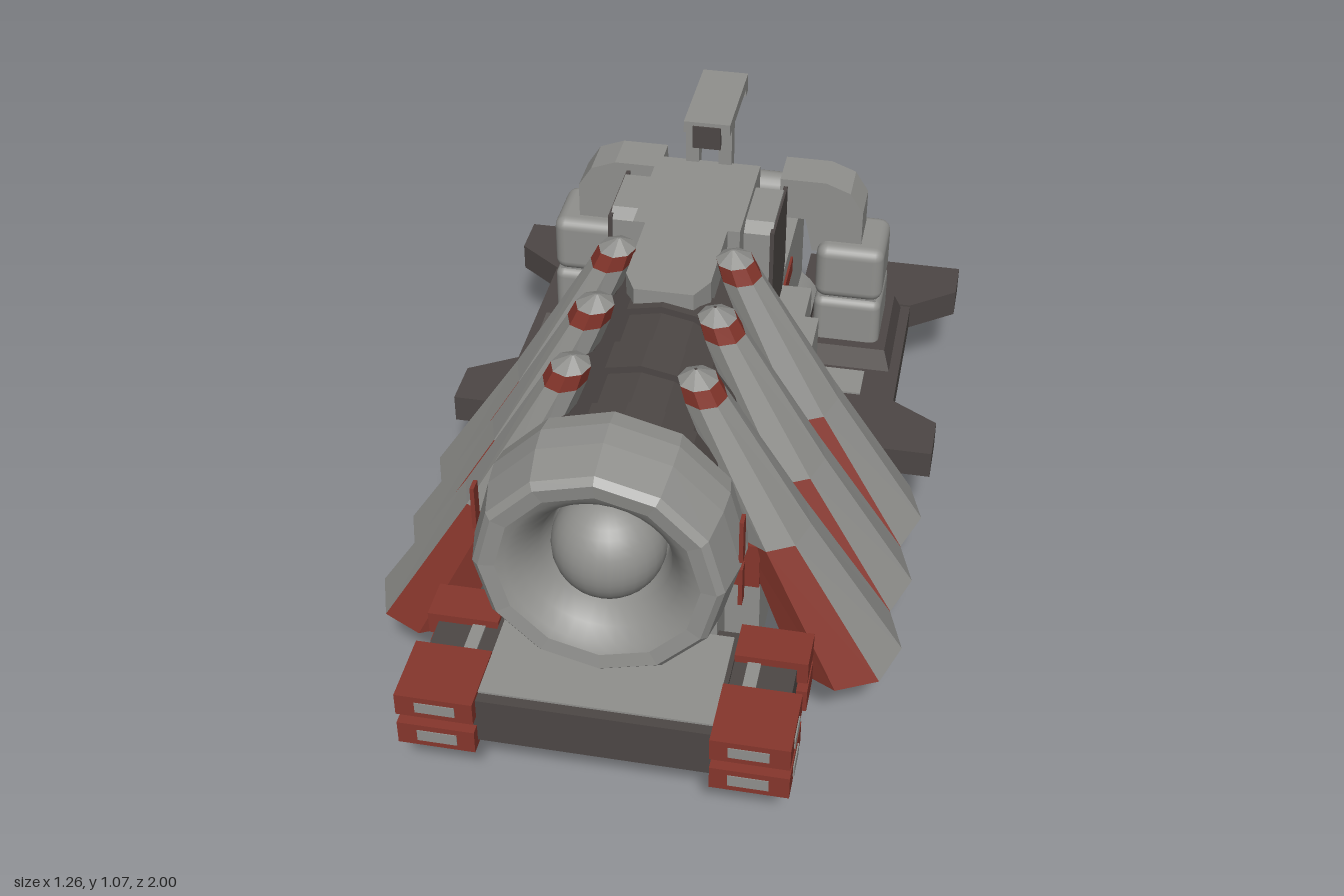
import * as THREE from 'three';
import { RoundedBoxGeometry } from 'three/addons/geometries/RoundedBoxGeometry.js';

const gray = new THREE.MeshStandardMaterial({ color: 0x90908d });
gray.name = 'hull gray';
const dark = new THREE.MeshStandardMaterial({ color: 0x4d4745 });
dark.name = 'dark metal';
const red = new THREE.MeshStandardMaterial({ color: 0x86362c });
red.name = 'rust red';

export function createModel() {
  const root = new THREE.Group();
  root.name = 'engineVehicle';

  const add = (name, geo, mat) => {
    const m = new THREE.Mesh(geo, mat);
    m.name = name;
    root.add(m);
    return m;
  };
  // Box given by its limits on each axis
  const box = (name, mat, x0, x1, y0, y1, z0, z1) =>
    add(name, new THREE.BoxGeometry(x1 - x0, y1 - y0, z1 - z0)
      .translate((x0 + x1) / 2, (y0 + y1) / 2, (z0 + z1) / 2), mat);
  const rounded = (name, mat, x0, x1, y0, y1, z0, z1, r) =>
    add(name, new RoundedBoxGeometry(x1 - x0, y1 - y0, z1 - z0, 3, r)
      .translate((x0 + x1) / 2, (y0 + y1) / 2, (z0 + z1) / 2), mat);
  // The same box on both sides
  const pair = (name, mat, x0, x1, ...rest) => {
    box(name, mat, x0, x1, ...rest);
    box(name, mat, -x1, -x0, ...rest);
  };
  const outline = (pts) => new THREE.Shape(pts.map(([a, b]) => new THREE.Vector2(a, b)));
  const extrude = (shape, depth) =>
    new THREE.ExtrudeGeometry(shape, { depth, bevelEnabled: false, curveSegments: 8 });
  // Horizontal plate from an (x, z) outline
  const plate = (name, mat, pts, yTop, h) =>
    add(name, extrude(outline(pts), h).rotateX(Math.PI / 2).translate(0, yTop, 0), mat);
  // Side-profile solid from a (z, y) outline between x0 and x1
  const sideSolid = (name, mat, pts, x0, x1) =>
    add(name, extrude(outline(pts.map(([z, y]) => [-z, y])), x1 - x0)
      .rotateY(Math.PI / 2).translate(x0, 0, 0), mat);
  const flat = (geo) => {
    const g = geo.toNonIndexed();
    g.computeVertexNormals();
    return g;
  };
  const lathe = (pts, n) =>
    new THREE.LatheGeometry(pts.map(([r, z]) => new THREE.Vector2(r, z)), n)
      .rotateX(Math.PI / 2).translate(0, 0.7, 0);

  // Front intake: faceted shell, smooth bowl and nose ball
  add('intakeShell', flat(lathe([[0.1, 0.655], [0.23, 0.66], [0.285, 0.69], [0.293, 0.74],
    [0.288, 0.8], [0.27, 0.885], [0.255, 0.9], [0.22, 0.895]], 12)), gray);
  add('intakeBowl', lathe([[0.235, 0.897], [0.2, 0.885], [0.17, 0.855], [0.145, 0.81],
    [0.13, 0.75], [0.12, 0.7], [0, 0.69]], 36), gray);
  add('intakeNose', new THREE.SphereGeometry(0.125, 28, 18).translate(0, 0.7, 0.77), gray);
  pair('intakeMark', red, 0.283, 0.292, 0.59, 0.69, 0.77, 0.8);
  pair('intakeMark', red, 0.283, 0.292, 0.71, 0.82, 0.77, 0.8);

  // Main barrel with ribs
  const barrel = (name, r, z0, z1) => add(name, flat(new THREE.CylinderGeometry(r, r, z1 - z0, 16)
    .rotateX(Math.PI / 2).translate(0, 0.7, (z0 + z1) / 2)), dark);
  barrel('barrel', 0.195, -0.15, 0.67);
  for (const z of [-0.09, 0.15, 0.38, 0.61]) barrel('barrelRib', 0.212, z - 0.05, z + 0.05);

  // Exhaust fins: leaning octagonal cones with red flanks and red collars
  const finRows = [[0.235, 0.49, 0.135, 0.165], [0.58, 0.315, 0.085, 0.112],
    [0.91, 0.155, 0.05, 0.057], [0.95, 0.14, 0.045, 0.05], [0.975, 0.135, 0.004, 0.004]];
  const finGeometry = () => {
    const pos = [];
    const geo = new THREE.BufferGeometry();
    const pt = (r, k) => {
      const [y, cx, rx, rz] = finRows[r];
      const a = k * Math.PI / 4;
      return [cx + rx * Math.cos(a), y, rz * Math.sin(a)];
    };
    for (let r = 0; r < finRows.length - 1; r++) {
      for (let k = 0; k < 8; k++) {
        const isRed = r === 2 || (r === 0 && [1, 2, 5, 6].includes(k));
        geo.addGroup(pos.length / 3, 6, isRed ? 1 : 0);
        pos.push(...pt(r, k), ...pt(r + 1, k), ...pt(r + 1, k + 1),
          ...pt(r, k), ...pt(r + 1, k + 1), ...pt(r, k + 1));
      }
    }
    geo.addGroup(pos.length / 3, 24, 0);
    for (let k = 0; k < 8; k++) pos.push(0.49, 0.225, 0, ...pt(0, k), ...pt(0, k + 1));
    geo.setAttribute('position', new THREE.Float32BufferAttribute(pos, 3));
    geo.computeVertexNormals();
    return geo;
  };
  const finGeo = finGeometry();
  for (const z of [0.5, 0.265, 0.03]) {
    for (const turn of [0, Math.PI]) {
      const fin = add('exhaustFin', finGeo, [gray, red]);
      fin.position.z = z;
      fin.rotation.y = turn;
    }
  }

  // Central hull beneath the barrel
  box('hull', gray, -0.3, 0.3, 0.23, 0.46, -0.35, 0.58);
  box('hullBand', red, -0.3, 0.3, 0.46, 0.58, -0.1, 0.6);
  box('hullNose', gray, -0.22, 0.22, 0.25, 0.45, 0.58, 0.68);

  // Front bumper with red corner clamps
  box('bumperBar', dark, -0.27, 0.27, 0.25, 0.37, 0.66, 0.975);
  box('bumperTop', gray, -0.26, 0.26, 0.37, 0.375, 0.68, 0.95);
  pair('clampCore', dark, 0.25, 0.41, 0.26, 0.36, 0.66, 0.975);
  for (const [y0, y1] of [[0.235, 0.295], [0.322, 0.38]]) {
    pair('clampFront', red, 0.26, 0.435, y0, y1, 0.83, 1);
    pair('clampRear', red, 0.27, 0.435, y0, y1, 0.64, 0.74);
    pair('clampVent', gray, 0.3, 0.39, y0 + 0.015, y1 - 0.015, 0.995, 1.002);
    pair('clampSideVent', gray, 0.43, 0.438, y0 + 0.015, y1 - 0.015, 0.88, 0.95);
  }
  pair('clampRib', gray, 0.3, 0.33, 0.25, 0.365, 0.72, 0.85);

  // Belly: chin shield, keel drum and side discs
  const chin = new THREE.Shape();
  chin.moveTo(-0.2, 0.235);
  chin.lineTo(-0.2, 0.14);
  chin.bezierCurveTo(-0.2, 0.05, -0.17, 0, -0.08, 0);
  chin.lineTo(0.08, 0);
  chin.bezierCurveTo(0.17, 0, 0.2, 0.05, 0.2, 0.14);
  chin.lineTo(0.2, 0.235);
  add('chinShield', extrude(chin, 0.13).translate(0, 0, 0.1), gray);
  const mark = outline([[-0.08, 0.235], [-0.04, 0.2], [0.04, 0.2], [0.08, 0.235]]);
  add('chinMark', extrude(mark, 0.006).translate(0, 0, 0.23), red);
  add('keelDrum', new THREE.CylinderGeometry(1, 1, 0.89, 32).rotateX(Math.PI / 2)
    .scale(0.27, 0.195, 1).translate(0, 0.25, -0.345), gray);
  for (const [z0, z1] of [[-0.28, 0.09], [-0.5, -0.34]]) {
    box('keelStripe', red, -0.05, 0.05, 0.051, 0.06, z0, z1);
  }
  for (const [r, x] of [[0.2, 0.29], [0.17, 0.315], [0.12, 0.333]]) {
    add('sideDisc', new THREE.CylinderGeometry(r, r, 2 * x, 32).rotateZ(Math.PI / 2)
      .translate(0, 0.27, -0.13), r === 0.17 ? dark : gray);
  }

  // Rear deck with four stub wings
  box('deck', dark, -0.51, 0.51, 0.23, 0.3, -0.81, -0.3);
  for (const s of [1, -1]) {
    plate('rearWing', dark, [[0.2, -1], [0.63, -1], [0.63, -0.88], [0.51, -0.79], [0.2, -0.79]]
      .map(([x, z]) => [s * x, z]), 0.305, 0.075);
    plate('frontWing', dark, [[0.25, -0.35], [0.5, -0.35], [0.63, -0.27], [0.63, -0.14], [0.25, -0.14]]
      .map(([x, z]) => [s * x, z]), 0.305, 0.075);
    // Sloped pod footing
    const foot = new THREE.CylinderGeometry(0.6, 0.7071, 0.055, 4, 1).rotateY(Math.PI / 4);
    add('podFooting', flat(foot.scale(0.25, 1, 0.31).translate(s * 0.36, 0.325, -0.63)), dark);
    // Pod, elbow and waist
    const p = (a, b) => (s > 0 ? [a, b] : [-b, -a]);
    rounded('podLower', gray, ...p(0.265, 0.445), 0.33, 0.48, -0.735, -0.525, 0.025);
    box('podWaist', gray, ...p(0.28, 0.43), 0.44, 0.52, -0.72, -0.54);
    rounded('podUpper', gray, ...p(0.265, 0.445), 0.475, 0.635, -0.725, -0.53, 0.03);
    const elbow = outline([[0.25, 0.6], [0.38, 0.6], [0.38, 0.73], [0.345, 0.785], [0.28, 0.81],
      [0.16, 0.81], [0.16, 0.695], [0.23, 0.695]].map(([x, y]) => [s * x, y]));
    add('podElbow', extrude(elbow, 0.115).translate(0, 0, -0.685), gray);
  }
  pair('rearWingVent', gray, 0.27, 0.42, 0.3, 0.309, -0.97, -0.88);
  pair('frontWingVent', gray, 0.3, 0.42, 0.3, 0.309, -0.27, -0.2);
  pair('deckVent', gray, 0.24, 0.42, 0.297, 0.305, -0.46, -0.36);
  add('crossPipe', new THREE.CylinderGeometry(0.04, 0.04, 0.36, 20).rotateZ(Math.PI / 2)
    .translate(0, 0.75, -0.63), gray);

  // Rear engine block
  box('engineBlock', gray, -0.2, 0.2, 0.24, 0.64, -0.79, -0.34);
  pair('engineSidePanel', red, 0.198, 0.206, 0.31, 0.46, -0.53, -0.355);
  pair('engineSideStripe', red, 0.198, 0.206, 0.555, 0.6, -0.53, -0.355);
  box('engineTopSlot', dark, -0.09, 0.09, 0.638, 0.645, -0.73, -0.7);
  box('saddlePost', red, -0.1, 0.1, 0.64, 0.72, -0.5, -0.4);
  box('saddleCap', gray, -0.13, 0.13, 0.71, 0.78, -0.53, -0.4);

  // Rear window frame and lip
  const frame = outline([[-0.19, 0.22], [0.19, 0.22], [0.19, 0.57], [0.15, 0.61], [-0.15, 0.61], [-0.19, 0.57]]);
  frame.holes.push(new THREE.Path([[-0.1, 0.31], [-0.1, 0.54], [0.1, 0.54], [0.1, 0.31]]
    .map(([x, y]) => new THREE.Vector2(x, y))));
  add('rearFrame', extrude(frame, 0.06).translate(0, 0, -0.85), gray);
  pair('rearPane', red, 0.015, 0.08, 0.33, 0.46, -0.797, -0.789);
  plate('rearLip', gray, [[-0.15, -0.84], [-0.11, -0.94], [0.11, -0.94], [0.15, -0.84]], 0.3, 0.07);

  // Upper machinery housing
  box('spine', gray, -0.1, 0.1, 0.86, 0.94, -0.12, 0.12);
  plate('spineNose', gray, [[-0.1, 0.12], [-0.07, 0.18], [0.07, 0.18], [0.1, 0.12]], 0.94, 0.06);
  box('housing', gray, -0.13, 0.13, 0.6, 0.94, -0.41, -0.1);
  sideSolid('housingCheeks', gray, [[-0.16, 0.9], [-0.19, 0.92], [-0.34, 0.92], [-0.37, 0.9],
    [-0.37, 0.7], [-0.33, 0.64], [-0.2, 0.64], [-0.16, 0.7]], -0.2, 0.2);
  for (const x of [0.195, -0.205]) {
    sideSolid('cheekPanel', dark, [[-0.155, 0.91], [-0.375, 0.91], [-0.375, 0.69], [-0.335, 0.63],
      [-0.195, 0.63], [-0.155, 0.69]], x, x + 0.01);
  }
  sideSolid('shoulderCollar', gray, [[-0.05, 0.66], [-0.18, 0.66], [-0.18, 0.4], [-0.13, 0.4],
    [-0.1, 0.58]], -0.32, 0.32);
  box('shoulderBlock', gray, -0.28, 0.28, 0.3, 0.63, -0.35, -0.17);

  // Hooked mast
  pair('mastPost', gray, 0.025, 0.058, 0.78, 1.04, -0.44, -0.4);
  box('mastBase', gray, -0.06, 0.06, 0.78, 0.86, -0.45, -0.39);
  box('mastTop', gray, -0.058, 0.058, 1.04, 1.07, -0.64, -0.37);
  box('mastLip', gray, -0.058, 0.058, 1.02, 1.05, -0.64, -0.61);
  box('mastInset', dark, -0.035, 0.035, 1.0, 1.06, -0.378, -0.366);
  return root;
}
